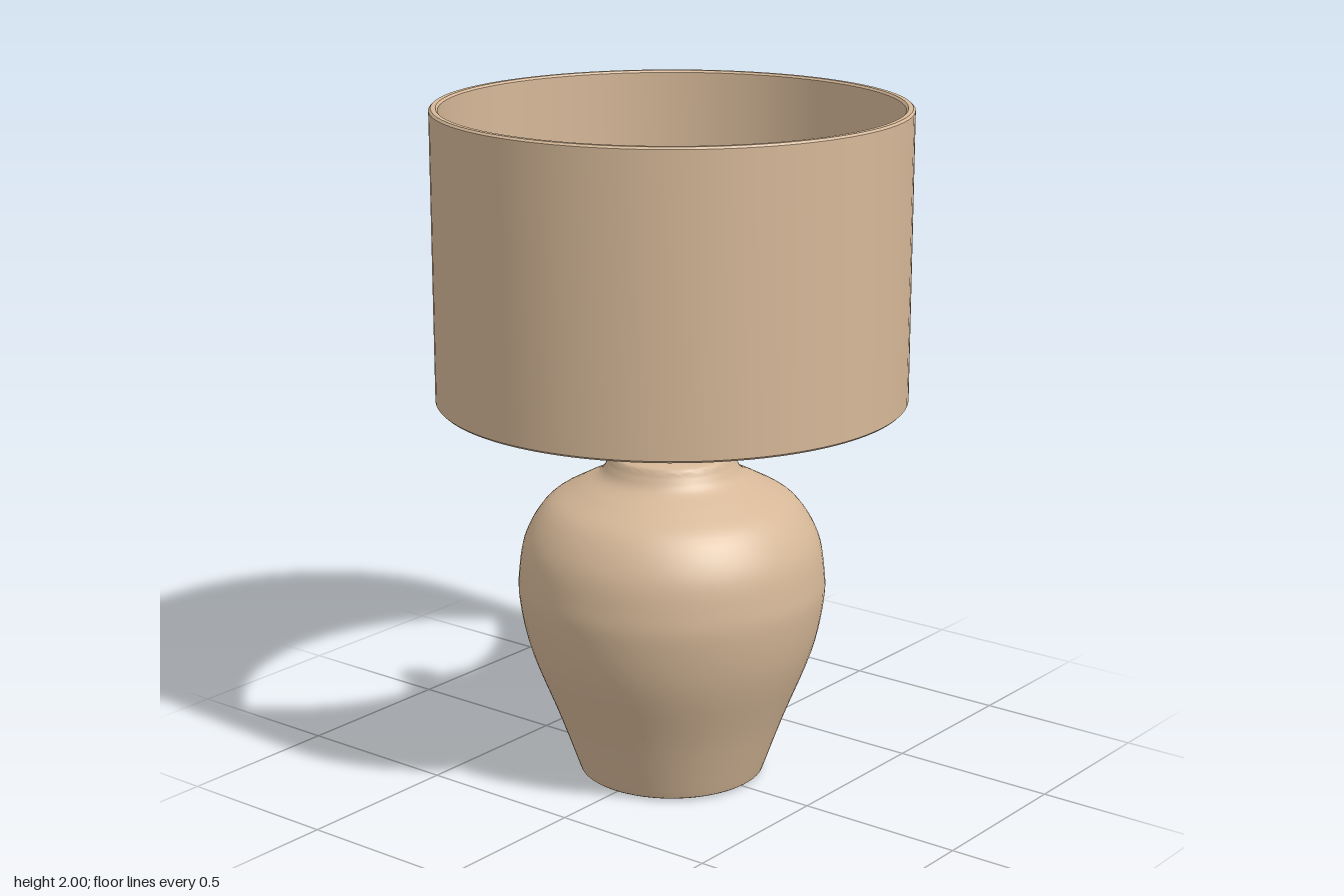
import * as THREE from 'three';
import { toCreasedNormals } from 'three/addons/utils/BufferGeometryUtils.js';

const v = (x, y) => new THREE.Vector2(x, y);

export function createModel() {
  const lamp = new THREE.Group();
  lamp.name = 'tableLamp';
  const tan = new THREE.MeshStandardMaterial({ color: 0xd6b898 });
  tan.name = 'warmTan';

  const add = (name, geometry, y = 0) => {
    const mesh = new THREE.Mesh(geometry, tan);
    mesh.name = name;
    mesh.position.y = y;
    lamp.add(mesh);
  };
  // Turned part from a profile, keeping hard edges sharp
  const turned = (points, segments) =>
    toCreasedNormals(new THREE.LatheGeometry(points, segments), 0.7);

  // Vase body: smooth curve from foot to neck, closed by flat discs
  const side = new THREE.SplineCurve([
    v(0.255, 0), v(0.272, 0.008), v(0.282, 0.03), v(0.34, 0.19), v(0.418, 0.39),
    v(0.45, 0.54), v(0.45, 0.63), v(0.43, 0.735), v(0.37, 0.83), v(0.285, 0.883),
    v(0.215, 0.92), v(0.19, 0.955), v(0.18, 0.978), v(0.165, 0.986),
  ]).getPoints(65);
  add('vaseBody', turned([v(0, 0), ...side, v(0, 0.986)], 72));

  // Stem, narrower socket and ball bulb
  add('stem', new THREE.CylinderGeometry(0.049, 0.049, 0.17, 32), 1.06);
  add('socket', new THREE.CylinderGeometry(0.038, 0.038, 0.15, 32), 1.205);
  add('bulb', new THREE.SphereGeometry(0.06, 32, 20), 1.31);

  // Open drum shade with wall thickness and softened rims
  const low = 1.15, high = 2, outer = 0.684, inner = 0.658, b = 0.006;
  add('shade', turned([
    v(inner, low + b), v(inner + b, low), v(outer - b, low), v(outer, low + b),
    v(outer, high - b), v(outer - b, high), v(inner + b, high), v(inner, high - b),
    v(inner, low + b),
  ], 96));

  return lamp;
}
